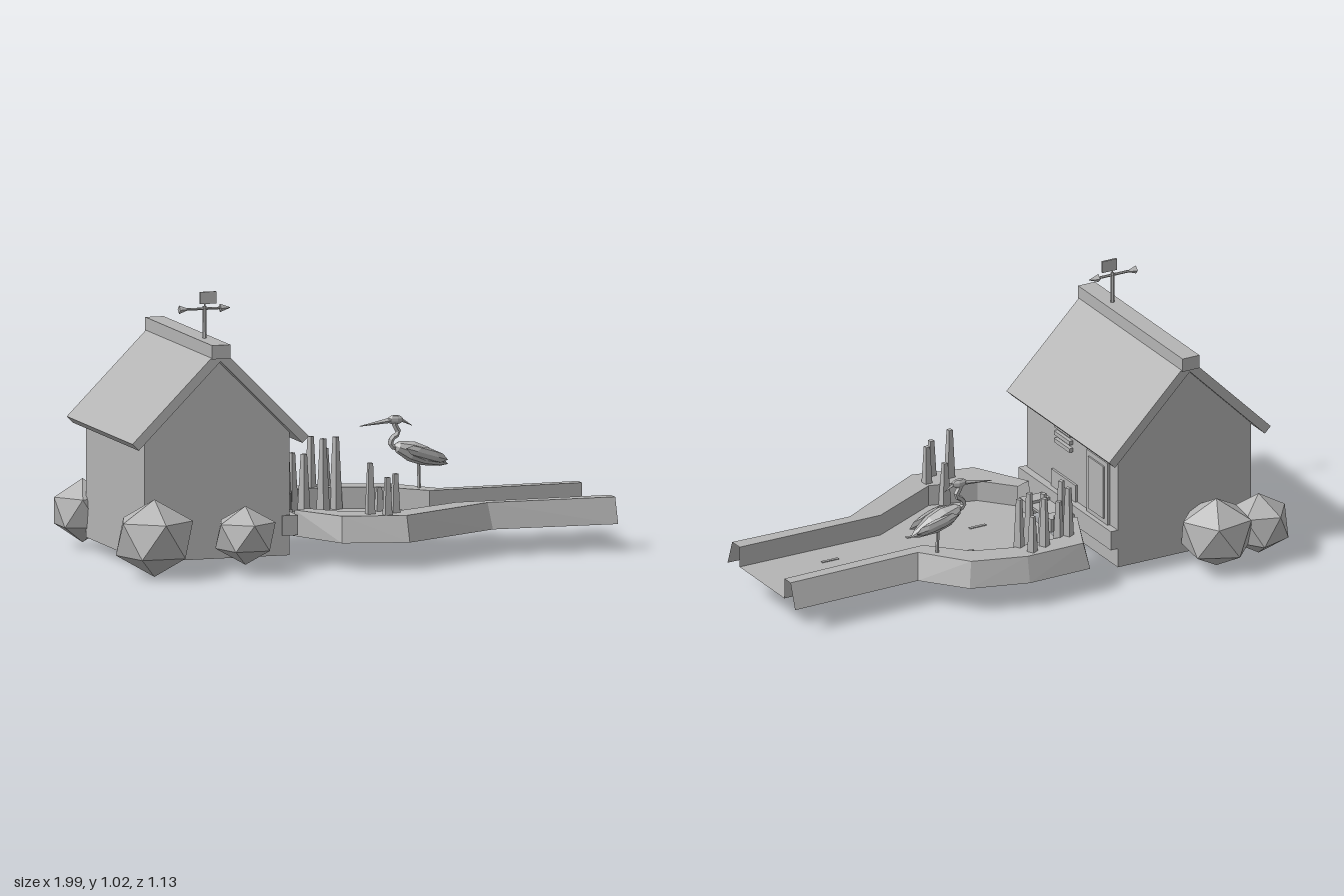
import * as THREE from 'three';

export function createModel() {
  const root = new THREE.Group();
  const grey = new THREE.MeshStandardMaterial({ color: 0xb4b4b4, flatShading: true, side: THREE.DoubleSide });
  grey.name = 'plain grey';

  function add(name, geo, parent = root) {
    const m = new THREE.Mesh(geo, grey);
    m.name = name;
    parent.add(m);
    return m;
  }
  // Box given by its min and max on each axis
  function box(name, x0, x1, y0, y1, z0, z1, parent = root) {
    const m = add(name, new THREE.BoxGeometry(x1 - x0, y1 - y0, z1 - z0), parent);
    m.position.set((x0 + x1) / 2, (y0 + y1) / 2, (z0 + z1) / 2);
    return m;
  }
  const shapeOf = pts => new THREE.Shape(pts.map(p => new THREE.Vector2(...p)));
  function extrude(name, pts, z0, z1, parent = root) {
    const g = new THREE.ExtrudeGeometry(shapeOf(pts), { depth: z1 - z0, bevelEnabled: false });
    g.translate(0, 0, z0);
    return add(name, g, parent);
  }
  // Rod from a to b with its own end radii
  function rod(name, a, b, r0, r1, sides, parent = root) {
    const va = new THREE.Vector3(...a), vb = new THREE.Vector3(...b);
    const d = vb.clone().sub(va);
    const m = add(name, new THREE.CylinderGeometry(r1, r0, d.length(), sides), parent);
    m.position.copy(va).add(vb).multiplyScalar(0.5);
    m.quaternion.setFromUnitVectors(new THREE.Vector3(0, 1, 0), d.normalize());
    return m;
  }

  // House: gabled walls, chevron roof and ridge cap
  const house = new THREE.Group();
  house.name = 'house';
  house.position.x = -0.58;
  root.add(house);
  extrude('walls', [[-0.283, 0.05], [0.285, 0.05], [0.285, 0.515], [0, 0.8], [-0.283, 0.517]], -0.345, 0.335, house);
  extrude('roof', [[0.345, 0.5], [0, 0.845], [-0.345, 0.5], [-0.32, 0.475], [0, 0.795], [0.32, 0.475]], -0.385, 0.382, house);
  box('ridgeCap', -0.036, 0.036, 0.805, 0.857, -0.393, 0.388, house);

  // Weather vane
  const vane = new THREE.Group();
  vane.name = 'weatherVane';
  vane.position.set(-0.58, 0, 0.194);
  root.add(vane);
  rod('vanePole', [0, 0.85, 0], [0, 0.976, 0], 0.008, 0.007, 6, vane);
  rod('vaneArm', [-0.07, 0.967, 0], [0.065, 0.967, 0], 0.005, 0.005, 6, vane);
  rod('vaneTail', [-0.1, 0.967, 0], [-0.065, 0.967, 0], 0.016, 0.003, 4, vane);
  rod('vaneTip', [0.06, 0.967, 0], [0.1, 0.967, 0], 0.016, 0.001, 4, vane);
  box('vanePlate', -0.018, 0.045, 0.985, 1.03, -0.004, 0.004, vane);
  rod('vanePin', [0, 0.97, 0], [0, 0.99, 0], 0.003, 0.003, 5, vane);

  // Pond-side wall fittings: sill beam, door, hatch, louvres and outlet
  box('sillBeam', -0.325, -0.265, 0.125, 0.2, -0.345, 0.345);
  box('door', -0.3, -0.284, 0.2, 0.45, -0.287, -0.13);
  box('doorPanel', -0.29, -0.278, 0.22, 0.43, -0.265, -0.152);
  box('hatch', -0.3, -0.286, 0.195, 0.268, -0.043, 0.138);
  for (const y of [0.397, 0.427, 0.458]) box('louvre', -0.3, -0.28, y - 0.008, y + 0.008, -0.01, 0.107);
  for (const z of [-0.045, 0.138]) box('outletCheek', -0.27, -0.165, 0.115, 0.167, z - 0.028, z + 0.028);
  box('outletTray', -0.27, -0.178, 0.146, 0.156, -0.02, 0.112);

  // Pond banks: outer foot, outer lip, inner lip, waterline
  const WATER = 0.12, LIP = 0.2, FOOT = 0.103;
  function bank(name, foot, outer, inner) {
    const pos = [], idx = [], n = foot.length;
    const rows = [[foot, FOOT], [outer, LIP], [inner, LIP], [inner, WATER]];
    for (const [pts, y] of rows) for (const [x, z] of pts) pos.push(x, y, z);
    for (let r = 0; r < 3; r++) for (let i = 0; i < n - 1; i++) {
      const a = r * n + i, b = a + n;
      // Wind so the outside faces out on either bank
      if (foot[1][1] > 0) idx.push(a, a + 1, b, a + 1, b + 1, b);
      else idx.push(a, b, a + 1, a + 1, b, b + 1);
    }
    const g = new THREE.BufferGeometry();
    g.setAttribute('position', new THREE.Float32BufferAttribute(pos, 3));
    g.setIndex(idx);
    g.computeVertexNormals();
    add(name, g);
  }
  const backInner = [[-0.155, -0.11], [-0.07, -0.295], [0.12, -0.29], [0.27, -0.24], [0.4, -0.105], [1, -0.12]];
  const frontInner = [[-0.175, 0.19], [-0.07, 0.31], [0.11, 0.36], [0.4, 0.212], [1, 0.215]];
  bank('backBank',
    [[-0.24, -0.18], [-0.14, -0.41], [0.12, -0.415], [0.34, -0.35], [0.47, -0.19], [1, -0.2]],
    [[-0.225, -0.165], [-0.125, -0.385], [0.115, -0.388], [0.32, -0.325], [0.45, -0.155], [1, -0.165]], backInner);
  bank('frontBank',
    [[-0.24, 0.21], [-0.13, 0.455], [0.115, 0.515], [0.515, 0.29], [1, 0.305]],
    [[-0.235, 0.215], [-0.12, 0.425], [0.115, 0.48], [0.505, 0.258], [1, 0.27]], frontInner);

  // Water sheet between the banks
  const outline = [...frontInner, ...[...backInner].reverse()].map(([x, z]) => [x, -z]);
  const water = add('water', new THREE.ShapeGeometry(shapeOf(outline)).rotateX(-Math.PI / 2));
  water.position.y = WATER;
  for (const [x, z, w] of [[0.05, 0.1, 0.07], [0.2, -0.08, 0.06], [0.3, 0.14, 0.06], [0.5, 0, 0.08], [0.68, 0.1, 0.07], [0.8, -0.05, 0.08]])
    box('ripple', x - w / 2, x + w / 2, WATER, WATER + 0.003, z - 0.006, z + 0.006);

  // Reeds: tapered square stems [x, z, top]
  const reeds = [[-0.125, -0.22, 0.39], [-0.115, -0.29, 0.39], [-0.06, -0.2, 0.345], [-0.08, -0.28, 0.34],
    [0.01, -0.33, 0.39], [0.075, -0.355, 0.34], [0.035, -0.26, 0.39], [0.095, -0.29, 0.39],
    [0.055, 0.335, 0.29], [0, 0.395, 0.39], [0.1, 0.39, 0.345], [0.052, 0.442, 0.34]];
  reeds.forEach(([x, z, top], i) => {
    const g = new THREE.CylinderGeometry(0.012, 0.026, top - 0.105, 4);
    g.rotateY(Math.PI / 4 + (i < 8 ? 0.5 : 0.05));
    add('reed', g).position.set(x, (top + 0.105) / 2, z);
  });

  // Bushes: icosahedra standing on a corner
  const ico = new THREE.IcosahedronGeometry(1, 0).rotateZ(Math.atan(2 / (1 + Math.sqrt(5))));
  for (const [x, y, z, r, h, turn] of [[-0.85, 0.15, 0.415, 0.16, 0.145, 0.3], [-0.507, 0.15, 0.453, 0.125, 0.11, 0.3],
    [-0.665, 0.148, -0.435, 0.15, 0.135, 0.5], [-0.85, 0.14, -0.425, 0.125, 0.12, 0]]) {
    const b = add('bush', ico);
    b.position.set(x, y, z);
    b.scale.set(r, h, r);
    b.rotation.y = turn;
  }

  // Wading bird facing -x
  const bird = new THREE.Group();
  bird.name = 'wadingBird';
  bird.position.z = -0.188;
  root.add(bird);
  const profile = [[0, -0.115], [0.026, -0.095], [0.045, -0.04], [0.042, 0.02], [0.02, 0.085], [0, 0.115]];
  const body = add('birdBody', new THREE.LatheGeometry(profile.map(p => new THREE.Vector2(...p)), 8), bird);
  body.scale.x = 0.85;
  body.position.set(0.392, 0.324, 0);
  body.rotation.z = -Math.PI / 2 - 0.36;
  for (const s of [-1, 1]) {
    const wing = add('birdWing', new THREE.SphereGeometry(1, 6, 4), bird);
    wing.scale.set(0.09, 0.024, 0.012);
    wing.position.set(0.405, 0.33, s * 0.038);
    wing.rotation.set(0, s * 0.12, -0.3);
  }
  const neckPath = new THREE.CatmullRomCurve3([[0.31, 0.35], [0.275, 0.365], [0.28, 0.39], [0.305, 0.41], [0.29, 0.44], [0.29, 0.456]]
    .map(([x, y]) => new THREE.Vector3(x, y, 0)));
  add('birdNeck', new THREE.TubeGeometry(neckPath, 10, 0.011, 5), bird);
  const head = add('birdHead', new THREE.SphereGeometry(1, 7, 5), bird);
  head.scale.set(0.033, 0.018, 0.016);
  head.position.set(0.293, 0.459, 0);
  rod('birdBeak', [0.27, 0.457, 0], [0.153, 0.44, 0], 0.01, 0.001, 4, bird);
  rod('birdCrest', [0.305, 0.464, 0], [0.358, 0.435, 0], 0.008, 0.001, 4, bird);
  rod('birdLeg', [0.39, 0.105, 0], [0.383, 0.3, 0], 0.006, 0.007, 5, bird);
  for (const [dx, dz] of [[-0.035, 0], [-0.025, 0.022], [-0.025, -0.022], [0.022, 0]])
    rod('birdToe', [0.39, 0.107, 0], [0.39 + dx, 0.105, dz], 0.006, 0.003, 4, bird);

  return root;
}
